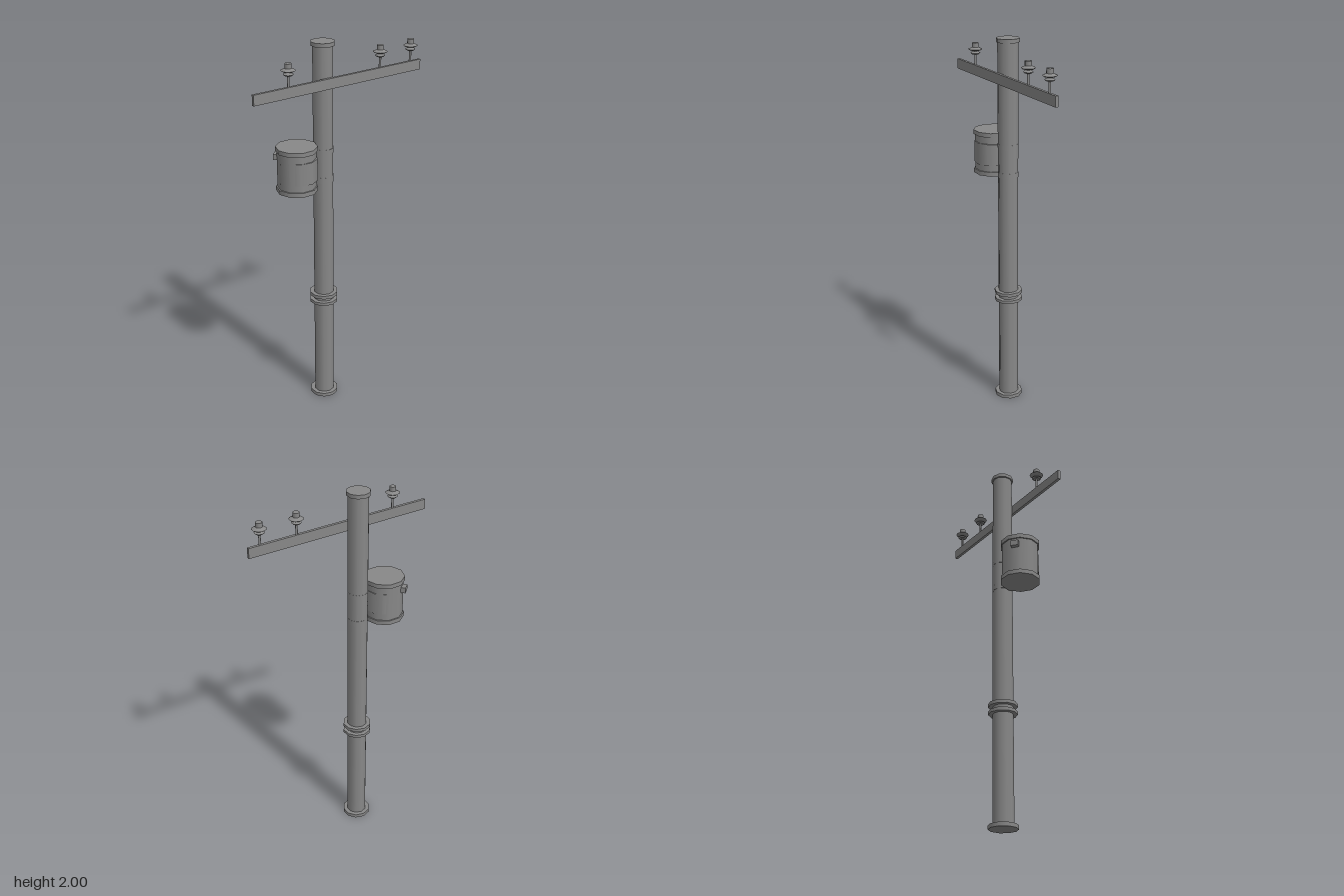
import * as THREE from 'three';

const material = new THREE.MeshStandardMaterial({ color: 0x888888 });
const SIDES = 10;

function add(parent, name, geometry, x, y, z) {
  const mesh = new THREE.Mesh(geometry, material);
  mesh.name = name;
  mesh.position.set(x, y, z);
  parent.add(mesh);
  return mesh;
}

// Upright cylinder between two heights, with its first corner at the given turn
function drum(parent, name, r, y0, y1, { rTop = r, sides = SIDES, turn = 0, x = 0, z = 0 } = {}) {
  return add(parent, name, new THREE.CylinderGeometry(rTop, r, y1 - y0, sides, 1, false, turn), x, (y0 + y1) / 2, z);
}

function makePole() {
  const pole = new THREE.Group();
  pole.name = 'pole';
  drum(pole, 'shaft', 0.053, 0.01, 1.99);
  drum(pole, 'baseFlange', 0.075, 0, 0.02);
  drum(pole, 'lowerCollar', 0.075, 0.583, 0.6);
  drum(pole, 'upperCollar', 0.075, 0.623, 0.641);
  drum(pole, 'topCap', 0.06, 1.98, 2);
  // Straps that hold the transformer
  drum(pole, 'lowerStrap', 0.0538, 1.28, 1.31);
  drum(pole, 'upperStrap', 0.0538, 1.435, 1.46);
  return pole;
}

function makeInsulator() {
  const insulator = new THREE.Group();
  insulator.name = 'insulator';
  drum(insulator, 'pin', 0.006, 0, 0.1, { sides: 8 });
  drum(insulator, 'lowerSkirt', 0.018, 0.056, 0.063, { rTop: 0.026 });
  drum(insulator, 'lowerSkirtTop', 0.026, 0.063, 0.07, { rTop: 0.014 });
  drum(insulator, 'upperSkirt', 0.028, 0.076, 0.082, { rTop: 0.037 });
  drum(insulator, 'upperSkirtTop', 0.037, 0.082, 0.092, { rTop: 0.016 });
  drum(insulator, 'knob', 0.017, 0.092, 0.115);
  return insulator;
}

function makeTransformer() {
  const transformer = new THREE.Group();
  transformer.name = 'transformer';
  const turn = Math.PI / 2;
  drum(transformer, 'tank', 0.098, 1.275, 1.49, { turn });
  drum(transformer, 'bottomRim', 0.105, 1.267, 1.29, { turn });
  drum(transformer, 'lid', 0.105, 1.477, 1.5, { turn });
  // Sleeve that stands out at the front, towards the pole
  drum(transformer, 'sleeve', 0.098, 1.325, 1.44, { turn: Math.PI / 4, x: 0.005, z: 0.005 });
  // Small box on the back
  const box = add(transformer, 'terminalBox', new THREE.BoxGeometry(0.04, 0.03, 0.03), -0.065, 1.44, -0.078);
  box.rotation.y = 0.7;
  return transformer;
}

export function createModel() {
  const model = new THREE.Group();
  model.name = 'utilityPole';

  const pole = makePole();
  pole.position.x = -0.065;
  model.add(pole);

  // Crossarm with its insulators
  add(model, 'crossarm', new THREE.BoxGeometry(1.01, 0.053, 0.015), 0, 1.803, 0.059);
  for (const x of [-0.307, 0.244, 0.441]) {
    const insulator = makeInsulator();
    insulator.position.set(x, 1.829, 0.059);
    model.add(insulator);
  }

  const transformer = makeTransformer();
  transformer.position.x = -0.227;
  model.add(transformer);
  return model;
}
